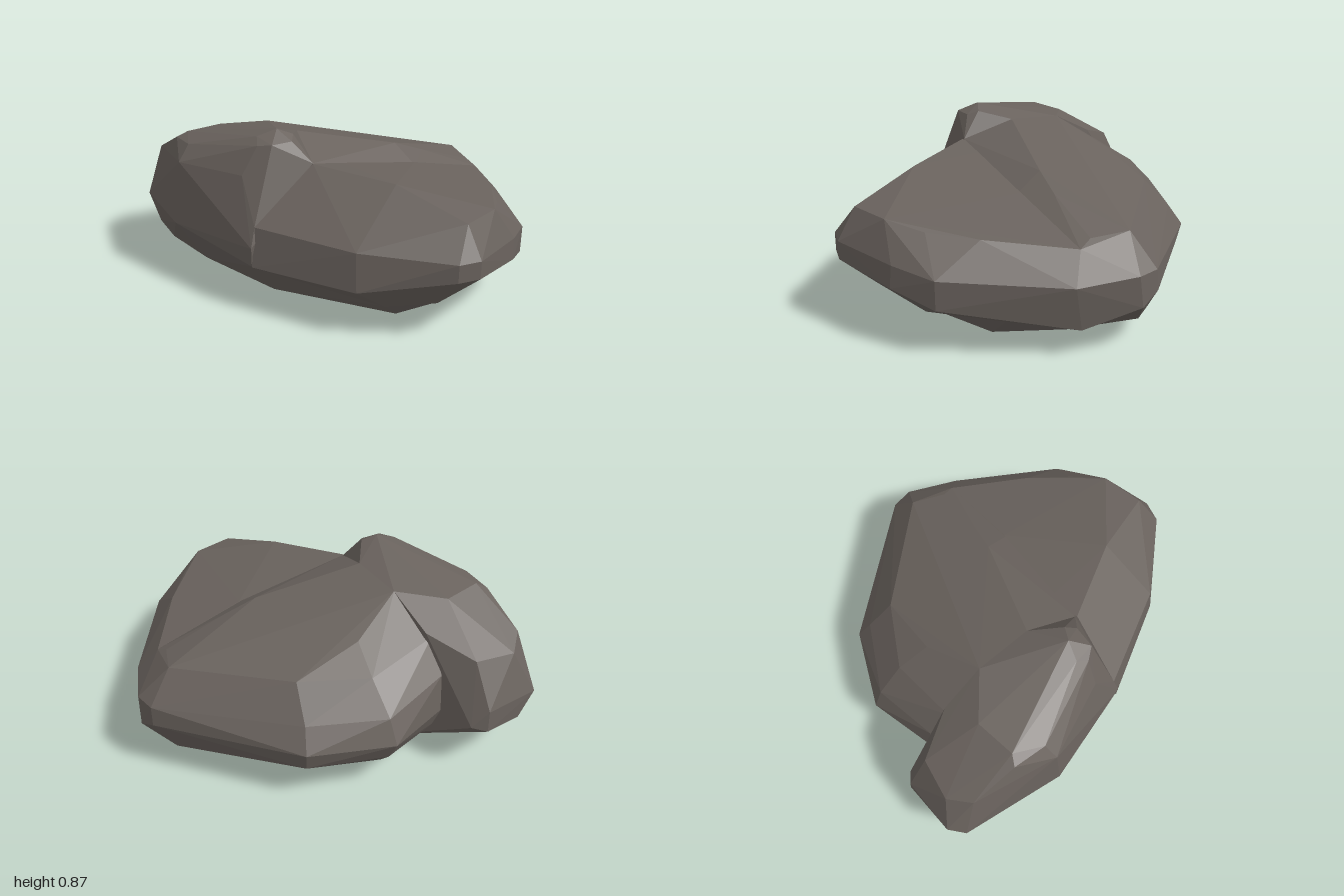
import * as THREE from 'three';
import { ConvexGeometry } from 'three/addons/geometries/ConvexGeometry.js';

const stone = new THREE.MeshStandardMaterial({ color: 0x69625d, flatShading: true });
stone.name = 'warm grey stone';

// one faceted chunk of rock from its corner points
function chunk(name, corners) {
  const points = corners.map((c) => new THREE.Vector3(...c));
  const mesh = new THREE.Mesh(new ConvexGeometry(points), stone);
  mesh.name = name;
  return mesh;
}

export function createModel() {
  const rock = new THREE.Group();
  rock.name = 'rock';

  // low shelf at the front and +x side, overhanging the foot
  rock.add(chunk('frontShelf', [
    // top
    [-0.1, 0.71, 0.27], [0, 0.68, 0.1], [0.18, 0.67, 0.42], [0.27, 0.68, 0.51], [0.47, 0.6, 0],
    [0.55, 0.58, 0.77], [0.72, 0.58, 0.62], [0.79, 0.54, 0.44], [0.84, 0.52, 0.2], [0.88, 0.48, -0.23],
    // side wall
    [-0.4, 0.45, 0.42], [0.05, 0.44, 0.73], [0.49, 0.43, 0.88], [0.6, 0.43, 0.85], [0.84, 0.41, 0.59],
    [0.95, 0.38, 0.4], [1, 0.35, -0.2], [0.96, 0.38, -0.48], [0.89, 0.38, -0.57],
    [-0.42, 0.25, 0.45], [0.05, 0.25, 0.76], [0.49, 0.34, 0.88], [0.6, 0.34, 0.85], [0.84, 0.3, 0.6],
    [0.95, 0.24, 0.4], [0.98, 0.14, -0.23], [0.96, 0.23, -0.5], [0.89, 0.28, -0.58],
    // underside
    [0.45, 0.14, 0.7], [0.2, 0.12, 0.67], [0.78, 0.15, 0.45], [0.86, 0.13, 0.1], [0.8, 0.15, -0.4],
  ]));

  // foot the shelf rests on
  rock.add(chunk('foot', [
    [-0.42, 0.25, 0.44], [0.2, 0.12, 0.67], [0.45, 0.14, 0.69], [0.76, 0.16, 0.44], [0.86, 0.14, 0.08],
    [0.86, 0.14, -0.2], [0.8, 0.1, -0.5],
    [0.28, 0.01, 0.56], [0.72, 0, 0.15], [0.72, 0, -0.2], [-0.31, 0.03, 0.28],
  ]));

  // higher slab at the back, stepping down to the shelf
  rock.add(chunk('backSlab', [
    // crest and foot of the step
    [-0.16, 0.8, 0], [0.38, 0.68, -0.1], [0.54, 0.62, -0.15], [0.83, 0.51, -0.28],
    [-0.1, 0.71, 0.26], [0, 0.69, 0.11], [0.47, 0.59, 0.02], [0.88, 0.48, -0.23],
    // rear slope
    [-0.3, 0.78, -0.26], [-0.1, 0.66, -0.5], [-0.15, 0.56, -0.66], [0.2, 0.56, -0.66], [0.8, 0.53, -0.46],
    [-0.46, 0.63, -0.45], [-0.22, 0.42, -0.79], [0.17, 0.41, -0.8],
    // rear and end walls
    [-0.25, 0.3, -0.84], [0.17, 0.3, -0.88], [0.89, 0.38, -0.57], [0.89, 0.28, -0.58],
    [0.96, 0.38, -0.48], [0.96, 0.23, -0.5], [1, 0.35, -0.2],
    [-0.5, 0.48, -0.56], [-0.5, 0.3, -0.6],
    // underside
    [-0.5, 0.18, -0.54], [-0.22, 0.2, -0.8], [0.17, 0.21, -0.86], [0.85, 0.17, -0.54],
    [-0.2, 0.08, -0.69], [0, 0.13, -0.76], [0.2, 0.08, -0.7], [0.8, 0.09, -0.52],
    [-0.3, 0.03, -0.5], [0.3, 0.02, -0.52], [0.72, 0, -0.2], [-0.31, 0.03, 0.25], [0.2, 0.01, 0.5],
  ]));

  // tall ridge along the -x side
  rock.add(chunk('sideRidge', [
    // peak and crest
    [-0.27, 0.87, 0.18], [-0.37, 0.84, 0.2], [-0.19, 0.84, 0.18], [-0.3, 0.82, 0.29], [-0.37, 0.81, 0.26],
    [-0.2, 0.82, 0.24], [-0.1, 0.71, 0.26], [-0.16, 0.8, 0], [-0.3, 0.78, -0.26], [-0.43, 0.66, -0.46],
    [-0.56, 0.755, -0.31], [-0.73, 0.76, -0.18], [-0.79, 0.73, -0.18], [-0.72, 0.74, -0.02], [-0.45, 0.67, 0.29],
    // outer wall
    [-0.9, 0.61, -0.4], [-0.85, 0.57, -0.53], [-0.65, 0.58, -0.6], [-0.77, 0.66, 0.03], [-0.4, 0.45, 0.42],
    [-0.94, 0.44, -0.42], [-0.97, 0.36, -0.56], [-1, 0.3, -0.47], [-0.71, 0.36, -0.71], [-0.71, 0.25, -0.72],
    [-0.63, 0.27, -0.71], [-0.89, 0.24, -0.61], [-0.81, 0.33, 0.05], [-0.42, 0.35, 0.45], [-0.42, 0.25, 0.44],
    // underside
    [-0.94, 0.14, -0.42], [-0.9, 0.17, -0.52], [-0.86, 0.09, -0.3], [-0.66, 0.09, -0.52],
    [-0.66, 0.09, 0], [-0.31, 0.03, 0.28], [-0.3, 0.03, -0.45],
  ]));

  return rock;
}
